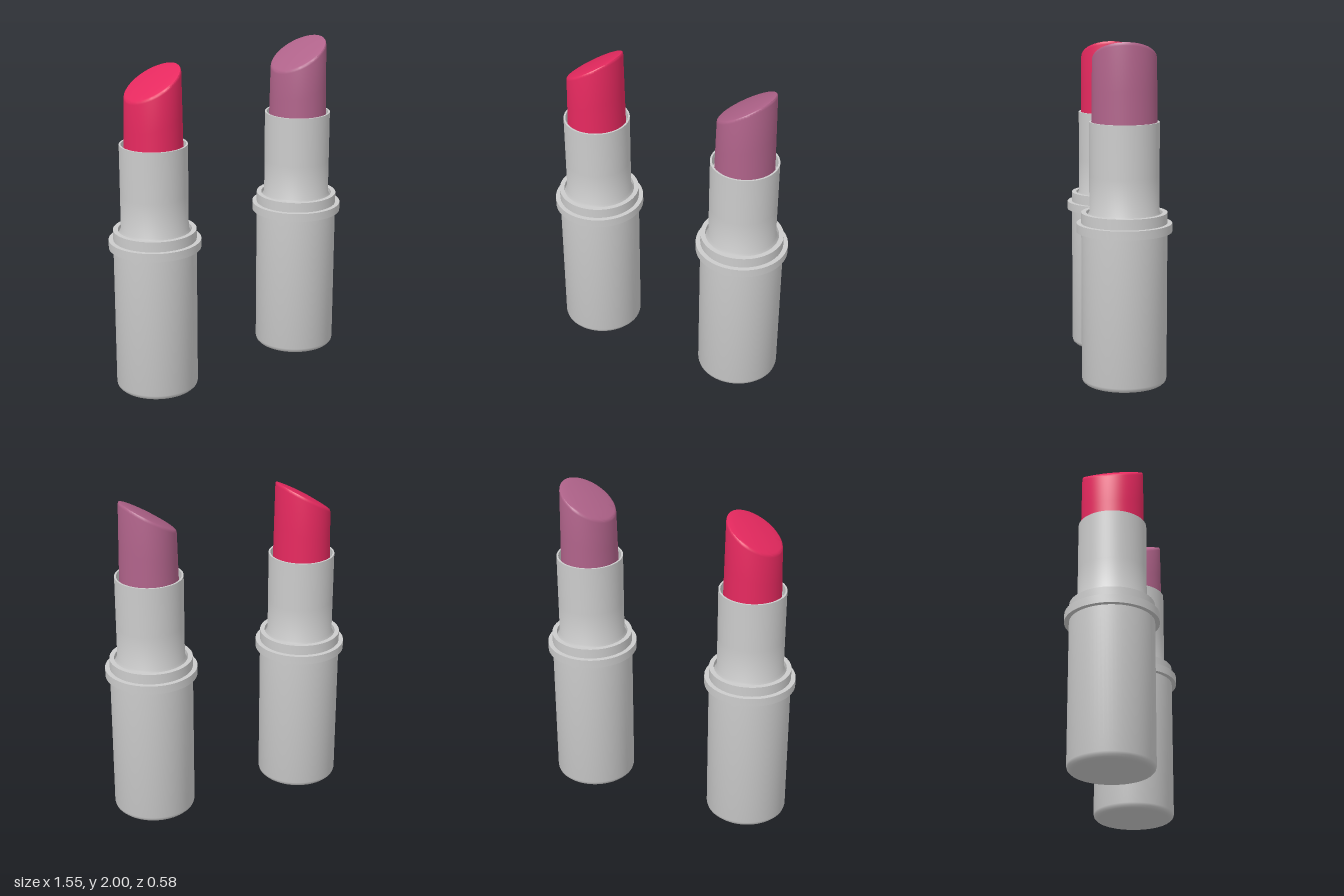
import * as THREE from 'three';
import { toCreasedNormals } from 'three/addons/utils/BufferGeometryUtils.js';

const SEGMENTS = 64;

function lathe(points) {
  const profile = points.map(([r, y]) => new THREE.Vector2(r, y));
  return new THREE.LatheGeometry(profile, SEGMENTS);
}

function addMesh(group, name, geometry, material) {
  const mesh = new THREE.Mesh(geometry, material);
  mesh.name = name;
  group.add(mesh);
}

// Oval, slightly tapered stick cut off at a slant, with a softly domed face
function bulletGeometry() {
  const bottom = 1.42;
  const geometry = lathe([
    [1, 0], [1, 0.5], [1, 0.96], [0.99, 0.985], [0.965, 0.997], [0.92, 1],
    [0.7, 1], [0.4, 1], [0, 1],
  ]);
  const pos = geometry.attributes.position;
  for (let i = 0; i < pos.count; i++) {
    const px = pos.getX(i), t = pos.getY(i), pz = pos.getZ(i);
    const x = px * (0.168 - 0.01 * t);
    const z = pz * (0.184 - 0.004 * t);
    const dome = 0.016 * (1 - px * px - pz * pz);
    const top = 1.858 + 0.59 * x + dome;
    pos.setXYZ(i, x, bottom + t * (top - bottom), z);
  }
  return toCreasedNormals(geometry, 0.6);
}

function createLipstick(name, color) {
  const group = new THREE.Group();
  group.name = name;
  const grey = new THREE.MeshStandardMaterial({ color: 0xcccccc });
  const tint = new THREE.MeshStandardMaterial({ color });

  // Base tube with a rounded bottom edge
  addMesh(group, 'base', toCreasedNormals(lathe([
    [0, 0], [0.213, 0], [0.228, 0.004], [0.239, 0.015], [0.243, 0.03],
    [0.243, 0.9],
  ]), 0.6), grey);

  // Wide ring, then a collar with a shallow groove around the sleeve
  addMesh(group, 'collar', toCreasedNormals(lathe([
    [0.24, 0.88], [0.27, 0.88], [0.27, 0.93], [0.243, 0.93],
    [0.243, 0.99], [0.215, 0.99], [0.215, 0.96], [0.19, 0.96],
  ]), 0.6), grey);

  // Inner sleeve: flared foot, thin rim and hollow cup
  addMesh(group, 'sleeve', toCreasedNormals(lathe([
    [0.215, 0.96], [0.197, 0.995], [0.197, 1.2], [0.197, 1.5],
    [0.186, 1.5], [0.186, 1.43], [0, 1.43],
  ]), 0.6), grey);

  addMesh(group, 'bullet', bulletGeometry(), tint);
  return group;
}

export function createModel() {
  const model = new THREE.Group();
  model.name = 'lipsticks';

  const red = createLipstick('redLipstick', 0xe6295f);
  red.position.set(-0.505, 0, 0.015);

  const mauve = createLipstick('mauveLipstick', 0xb0638a);
  mauve.position.set(0.505, 0.05, -0.02);

  model.add(red, mauve);
  return model;
}
